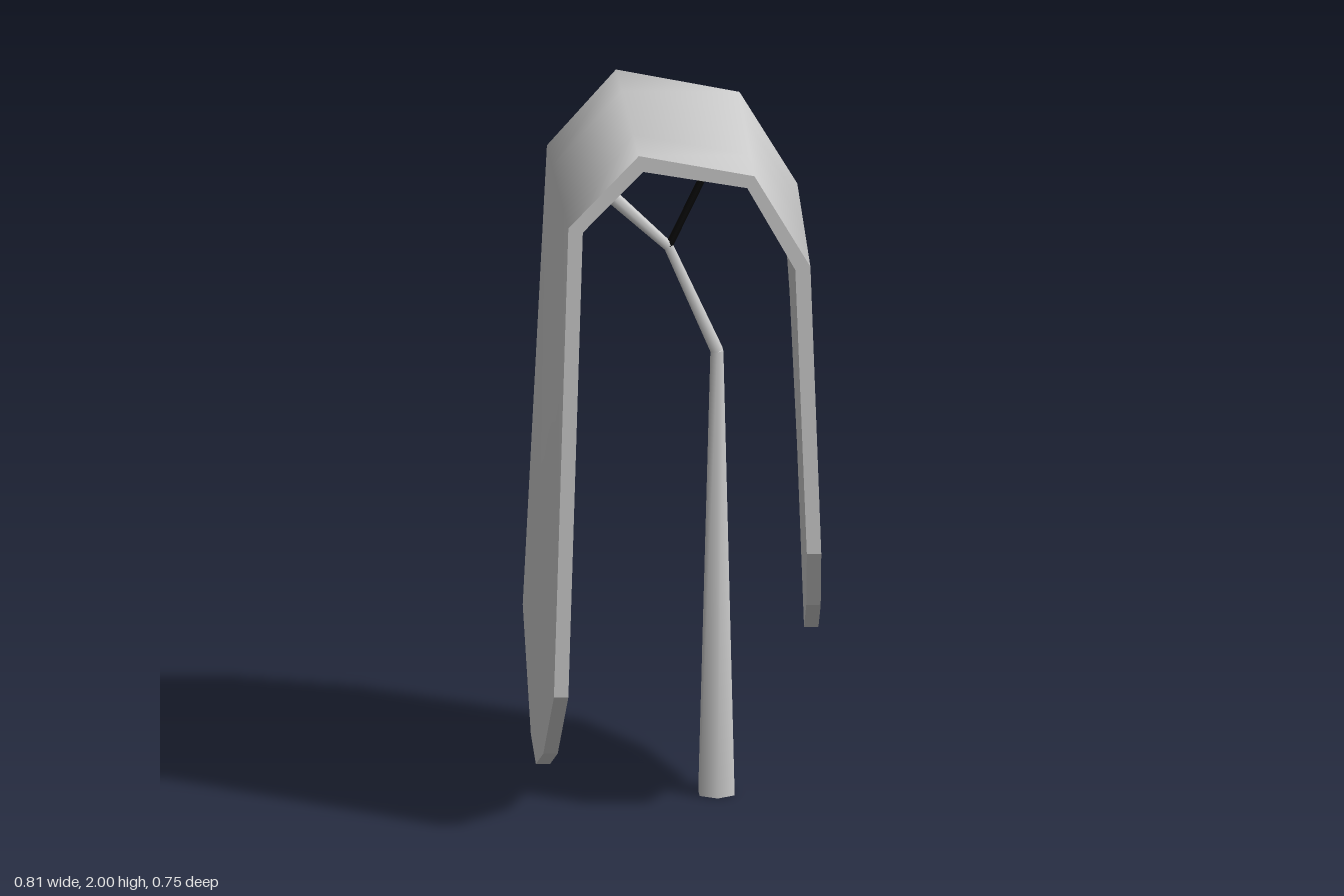
import * as THREE from 'three';

const material = (color = 0xcccccc) => new THREE.MeshStandardMaterial({ color });

// Cross-sections of the draped canopy from the -x hem, over the top, to the +x hem.
// f / b: outer corner [x, y] at the front and back; d: offset to the inner corner;
// z, y: optional stations of the pointed hem, front to back.
const SECTIONS = [
  { f: [-0.37, 0.42], b: [-0.405, 0.46], d: [0.04, 0],
    z: [0.375, 0.12, -0.06, -0.18, -0.375], y: [0.42, 0.18, 0.095, 0.145, 0.46] },
  { f: [-0.33, 1.775], b: [-0.338, 1.785], d: [0.04, -0.013] },
  { f: [-0.135, 1.98], b: [-0.147, 2.0], d: [0.012, -0.046] },
  { f: [0.185, 1.915], b: [0.195, 1.928], d: [-0.02, -0.034] },
  { f: [0.34, 1.65], b: [0.355, 1.66], d: [-0.042, -0.008] },
  { f: [0.37, 0.82], b: [0.405, 0.88], d: [-0.04, 0],
    z: [0.375, 0.3, 0.02, -0.22, -0.375], y: [0.82, 0.65, 0.5, 0.65, 0.88] },
];
const STATIONS = 5;

function canopyPoint(i, j, inner) {
  const s = SECTIONS[i];
  const z = s.z ? s.z[j] : 0.375 - 0.1875 * j;
  const t = (0.375 - z) / 0.75;
  const x = THREE.MathUtils.lerp(s.f[0], s.b[0], t);
  const y = s.y ? s.y[j] : THREE.MathUtils.lerp(s.f[1], s.b[1], t);
  return inner ? [x + s.d[0], y + s.d[1], z] : [x, y, z];
}

function makeGeometry(positions, index) {
  const g = new THREE.BufferGeometry();
  g.setAttribute('position', new THREE.Float32BufferAttribute(positions, 3));
  if (index) g.setIndex(index);
  g.computeVertexNormals();
  return g;
}

// One smooth sheet of the canopy
function sheet(inner) {
  const pos = [], index = [];
  for (let i = 0; i < SECTIONS.length; i++)
    for (let j = 0; j < STATIONS; j++) pos.push(...canopyPoint(i, j, inner));
  for (let i = 0; i < SECTIONS.length - 1; i++) {
    for (let j = 0; j < STATIONS - 1; j++) {
      const a = i * STATIONS + j, b = a + STATIONS, c = b + 1, d = a + 1;
      if (inner) index.push(a, c, b, a, d, c);
      else index.push(a, b, c, a, c, d);
    }
  }
  return makeGeometry(pos, index);
}

// Flat edge strip joining the two sheets
function rim() {
  const last = SECTIONS.length - 1, end = STATIONS - 1, loop = [], pos = [];
  for (let i = 0; i < last; i++) loop.push([i, 0]);
  for (let j = 0; j < end; j++) loop.push([last, j]);
  for (let i = last; i > 0; i--) loop.push([i, end]);
  for (let j = end; j > 0; j--) loop.push([0, j]);
  loop.forEach((p, k) => {
    const q = loop[(k + 1) % loop.length];
    const a = canopyPoint(...p, false), b = canopyPoint(...p, true);
    const c = canopyPoint(...q, true), d = canopyPoint(...q, false);
    pos.push(...a, ...b, ...c, ...a, ...c, ...d);
  });
  return makeGeometry(pos);
}

// Tapered six-sided limb between two points
function limb(name, from, to, r0, r1, color) {
  const a = new THREE.Vector3(...from), b = new THREE.Vector3(...to);
  const dir = b.clone().sub(a);
  const mesh = new THREE.Mesh(
    new THREE.CylinderGeometry(r1, r0, dir.length(), 6), material(color));
  mesh.name = name;
  mesh.position.copy(a).add(b).multiplyScalar(0.5);
  mesh.quaternion.setFromUnitVectors(new THREE.Vector3(0, 1, 0), dir.normalize());
  return mesh;
}

export function createModel() {
  const model = new THREE.Group();
  model.name = 'droopingTree';

  // Canopy
  const canopy = new THREE.Group();
  canopy.name = 'canopy';
  const parts = { canopyOuter: sheet(false), canopyInner: sheet(true), canopyRim: rim() };
  for (const [name, geometry] of Object.entries(parts)) {
    const mesh = new THREE.Mesh(geometry, material());
    mesh.name = name;
    canopy.add(mesh);
  }
  model.add(canopy);

  // Trunk and branches
  const knee = [0.112, 1.275, -0.075], fork = [-0.022, 1.58, -0.07];
  model.add(
    limb('trunk', [0.11, 0, -0.065], knee, 0.056, 0.02),
    limb('upperTrunk', knee, fork, 0.02, 0.015),
    limb('rightBranch', fork, [-0.27, 1.81, -0.085], 0.015, 0.024),
    limb('leftBranch', fork, [0.135, 1.9, -0.09], 0.011, 0.011, 0x050505),
  );
  return model;
}
